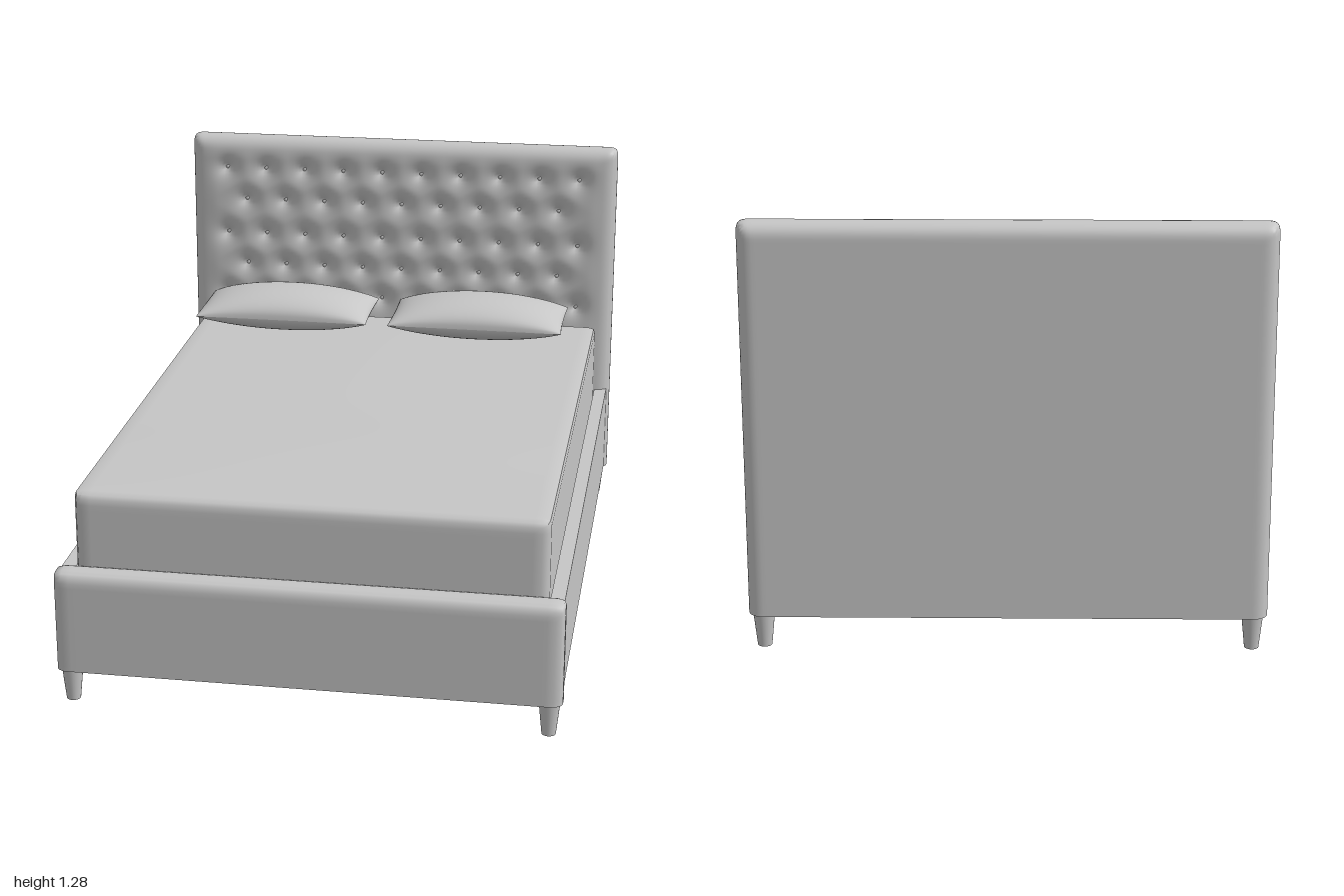
import * as THREE from 'three';
import { mergeVertices, mergeGeometries, toCreasedNormals } from 'three/addons/utils/BufferGeometryUtils.js';

const upholstery = new THREE.MeshStandardMaterial({ color: 0xc6c6c6 });
upholstery.name = 'light grey';

// Buttons in five staggered rows: ten, nine, ten, nine, ten
const buttons = [];
[1.165, 1.052, 0.928, 0.815, 0.705].forEach((y, row) => {
  const count = row % 2 ? 9 : 10;
  for (let i = 0; i < count; i++) buttons.push([(i - (count - 1) / 2) * 0.139 - 0.003, y]);
});

// Box with rounded sides and top, tight corners and a flat underside; shape(v) may then move each vertex
function softBox(min, max, r, segments, shape) {
  const size = max.map((m, i) => m - min[i]);
  let g = new THREE.BoxGeometry(...size, ...segments);
  g.translate(...max.map((m, i) => (m + min[i]) / 2));
  g.deleteAttribute('uv');
  g.deleteAttribute('normal');
  g = mergeVertices(g, 1e-5);
  const lo = new THREE.Vector3(min[0] + r, min[1], min[2] + r);
  const hi = new THREE.Vector3(max[0] - r, max[1] - r, max[2] - r);
  const p = g.attributes.position;
  const v = new THREE.Vector3();
  for (let i = 0; i < p.count; i++) {
    v.fromBufferAttribute(p, i);
    const inner = v.clone().clamp(lo, hi);
    const out = v.clone().sub(inner);
    // the fourth power keeps the corners of the panel nearly square
    const length = Math.hypot(Math.pow(out.x ** 4 + out.y ** 4, 0.25), out.z);
    // vertices inside the flat underside keep their place
    if (length > r * 0.999) v.copy(inner).addScaledVector(out, r / length);
    if (shape) shape(v);
    p.setXYZ(i, v.x, v.y, v.z);
  }
  return toCreasedNormals(g, 0.95);
}

// Pillow: two puffed sheets meeting at a seam, the lower one flattened where it rests
function pillowGeometry(width, depth, up, down) {
  const sheets = [up, -down].map((height) => {
    const g = new THREE.PlaneGeometry(2, 2, 32, 24);
    g.rotateX(height > 0 ? -Math.PI / 2 : Math.PI / 2);
    g.deleteAttribute('uv');
    g.deleteAttribute('normal');
    const p = g.attributes.position;
    for (let i = 0; i < p.count; i++) {
      const u = Math.sin(p.getX(i) * Math.PI / 2);
      const w = Math.sin(p.getZ(i) * Math.PI / 2);
      const a = Math.max(0, 1 - u * u);
      const b = Math.max(0, 1 - w * w);
      p.setXYZ(i,
        u * width / 2 * (1 - 0.015 * b),
        height * Math.pow(a, 0.55) * Math.pow(b, 0.42),
        w * depth / 2 * (1 - 0.015 * a));
    }
    g.computeVertexNormals();
    return g;
  });
  return mergeGeometries(sheets);
}

export function createModel() {
  const bed = new THREE.Group();
  bed.name = 'bed';
  const add = (name, geometry, x = 0, y = 0, z = 0) => {
    const mesh = new THREE.Mesh(geometry, upholstery);
    mesh.name = name;
    mesh.position.set(x, y, z);
    bed.add(mesh);
  };
  const box = (name, w, h, d, x, y, z) => add(name, new THREE.BoxGeometry(w, h, d), x, y, z);

  // Headboard with dimples pressed into the front around every button
  const tuft = (x, y) => {
    let d = 1;
    for (const [bx, by] of buttons) d = Math.min(d, Math.hypot(x - bx, y - by));
    const inside = THREE.MathUtils.smoothstep(0.74 - Math.abs(x), 0, 0.08)
      * THREE.MathUtils.smoothstep(1.27 - y, 0, 0.07);
    return inside * (0.008 - 0.036 * Math.exp(-d / 0.026));
  };
  add('headboard', softBox([-0.753, 0.105, -1], [0.753, 1.28, -0.908], 0.044, [130, 104, 8], (v) => {
    if (v.z > -0.93) v.z += tuft(v.x, v.y);
  }));
  const buttonGeometry = new THREE.SphereGeometry(0.009, 10, 8);
  buttonGeometry.scale(1, 1, 0.6);
  for (const [x, y] of buttons) add('headboardButton', buttonGeometry, x, y, -0.93);

  // Footboard
  add('footboard', softBox([-0.75, 0.105, 0.91], [0.75, 0.42, 1], 0.032, [60, 20, 10]));

  // Mattress with a slightly uneven top
  add('mattress', softBox([-0.698, 0.23, -0.905], [0.698, 0.645, 0.922], 0.028, [56, 22, 72], (v) => {
    if (v.y > 0.6) {
      const edge = Math.max(0, 1 - (v.x / 0.698) ** 2) * Math.max(0, 1 - (v.z / 0.922) ** 2);
      v.y += edge * (0.005 + 0.01 * Math.exp(-(((v.z - 0.5) / 0.25) ** 2)));
    }
  }));

  // Pillows
  const pillow = pillowGeometry(0.6, 0.31, 0.08, 0.064);
  add('rightPillow', pillow, -0.375, 0.712, -0.733);
  add('leftPillow', pillow, 0.3, 0.712, -0.733);

  // Side rails and legs, mirrored
  const legGeometry = new THREE.CylinderGeometry(0.033, 0.021, 0.115, 24);
  for (const side of [-1, 1]) {
    box('sideRail', 0.042, 0.3, 1.85, side * 0.722, 0.255, 0);
    for (const z of [-0.955, 0.955]) add('leg', legGeometry, side * 0.71, 0.0575, z);
  }

  // Slats under the mattress
  const slats = 13;
  for (let i = 0; i < slats; i++) {
    box('slat', 1.41, 0.025, 0.112, 0, 0.217, (i - (slats - 1) / 2) * 0.138);
  }
  return bed;
}
